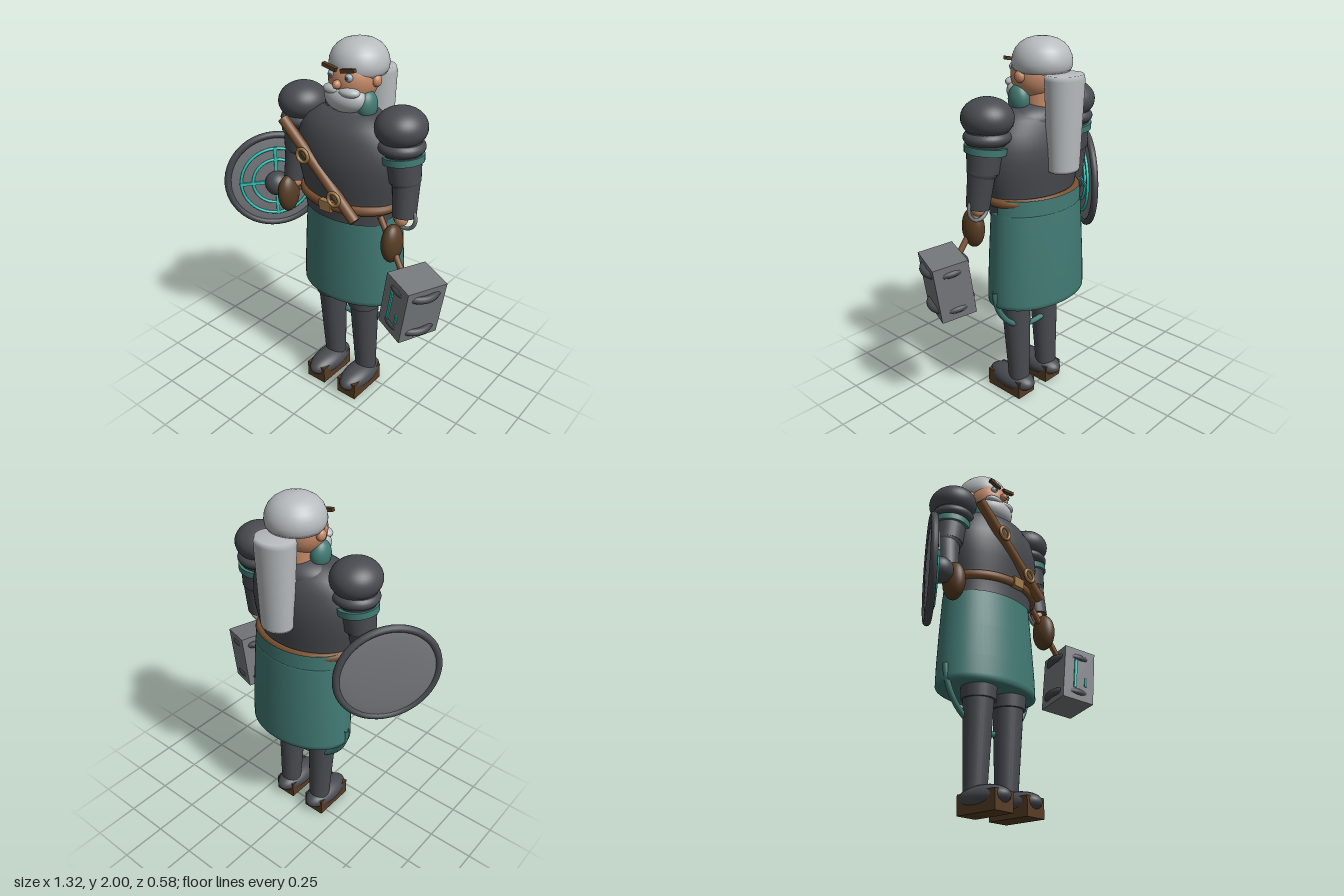
import * as THREE from 'three';

const mat = (name, color) => {
  const m = new THREE.MeshStandardMaterial({ color });
  m.name = name;
  return m;
};

export function createModel() {
  const armor = mat('dark armour', 0x484b50), teal = mat('teal cloth', 0x427a74);
  const metal = mat('grey metal', 0x76797d), leather = mat('brown leather', 0x79502f);
  const darkLeather = mat('dark leather', 0x573d24), gold = mat('brass', 0xa07a48);
  const skin = mat('skin', 0xc58a68), hair = mat('white hair', 0xb8bcbe);
  const glow = mat('cyan inlay', 0x2cc4b8), eye = mat('eye', 0x9fb0c0);

  const root = new THREE.Group();
  root.name = 'armouredElder';
  const body = new THREE.Group();
  body.name = 'body';
  body.position.x = 0.02;
  root.add(body);

  const add = (parent, name, geo, material, pos = [0, 0, 0], scale = [1, 1, 1], rot = [0, 0, 0]) => {
    const m = new THREE.Mesh(geo, material);
    m.name = name;
    m.position.set(...pos);
    m.scale.set(...scale);
    m.rotation.set(...rot);
    parent.add(m);
    return m;
  };
  const ball = (parent, name, material, pos, r) =>
    add(parent, name, new THREE.SphereGeometry(1, 36, 24), material, pos, r);
  const box = (parent, name, material, size, pos, rot) =>
    add(parent, name, new THREE.BoxGeometry(...size), material, pos, [1, 1, 1], rot);
  const ring = (parent, name, material, r, tube, pos, rot, scale, arc = Math.PI * 2) =>
    add(parent, name, new THREE.TorusGeometry(r, tube, 12, 48, arc), material, pos, scale, rot);
  // Tapered limb from a (radius ra) to b (radius rb)
  const limb = (parent, name, material, a, b, ra, rb) => {
    const p = new THREE.Vector3(...a), q = new THREE.Vector3(...b);
    const d = q.clone().sub(p);
    const m = add(parent, name, new THREE.CylinderGeometry(rb, ra, d.length(), 28), material);
    m.position.copy(p).addScaledVector(d, 0.5);
    m.quaternion.setFromUnitVectors(new THREE.Vector3(0, 1, 0), d.normalize());
    return m;
  };
  const lathe = (parent, name, material, pts, pos, scale) =>
    add(parent, name, new THREE.LatheGeometry(pts.map(p => new THREE.Vector2(...p)), 56), material, pos, scale);

  // Head and face
  const head = new THREE.Group();
  head.name = 'head';
  body.add(head);
  ball(head, 'face', skin, [0, 1.815, -0.01], [0.125, 0.13, 0.122]);
  limb(head, 'neck', skin, [0, 1.6, -0.03], [0, 1.76, -0.03], 0.08, 0.08);
  lathe(head, 'hairCap', hair, [[0, 1.835], [0.135, 1.835], [0.145, 1.855], [0.148, 1.88], [0.144, 1.91],
    [0.13, 1.942], [0.108, 1.967], [0.078, 1.986], [0.04, 1.997], [0, 2]], [0, 0, -0.055], [1, 1, 1.02]);
  ball(head, 'nose', skin, [0, 1.81, 0.118], [0.02, 0.022, 0.024]);
  ball(head, 'beard', hair, [0, 1.732, 0.05], [0.118, 0.076, 0.08]);
  for (const s of [-1, 1]) {
    ball(head, 'ear', skin, [s * 0.128, 1.818, -0.025], [0.022, 0.03, 0.028]);
    ball(head, 'eye', eye, [s * 0.052, 1.845, 0.093], [0.02, 0.02, 0.017]);
    ball(head, 'pupil', armor, [s * 0.05, 1.845, 0.107], [0.009, 0.009, 0.006]);
    box(head, 'eyebrow', darkLeather, [0.082, 0.018, 0.022], [s * 0.055, 1.882, 0.103], [0, 0, s * 0.2]);
    ball(head, 'moustache', hair, [s * 0.045, 1.773, 0.085], [0.06, 0.027, 0.04]);
    ball(head, 'scarf', teal, [s * 0.098, 1.7, 0.01], [0.048, 0.075, 0.06]);
  }
  // Hanging tail of hair
  lathe(head, 'hairTail', hair, [[0, 1.36], [0.085, 1.36], [0.088, 1.375], [0.108, 1.81], [0.1, 1.835], [0, 1.835]],
    [0, 0, -0.2], [1, 1, 0.85]);

  // Torso, belt and skirt
  lathe(body, 'torso', armor, [[0.268, 1.12], [0.272, 1.2], [0.285, 1.26], [0.305, 1.34], [0.315, 1.42], [0.31, 1.48],
    [0.288, 1.56], [0.24, 1.62], [0.15, 1.665], [0, 1.68]], [0, 0, 0.015], [1, 1, 0.63]);
  ball(body, 'upperChest', armor, [0, 1.6, 0], [0.19, 0.095, 0.15]);
  lathe(body, 'skirt', teal, [[0, 0.63], [0.29, 0.63], [0.308, 0.637], [0.308, 0.66], [0.305, 0.76], [0.295, 0.93],
    [0.28, 1.14], [0.275, 1.15], [0.2, 1.15]], [0, 0, -0.018], [1, 1, 0.68]);
  // Raised back half of the skirt
  add(body, 'skirtBack', new THREE.CylinderGeometry(0.277, 0.281, 0.1, 32, 1, true, Math.PI / 2, Math.PI),
    teal, [0, 1.18, -0.01], [1, 1, 0.7]).material.side = THREE.DoubleSide;
  ring(body, 'belt', leather, 0.272, 0.025, [0, 1.21, 0.012], [Math.PI / 2, 0, 0], [1, 0.7, 1]);
  box(body, 'buckle', gold, [0.075, 0.055, 0.03], [0, 1.21, 0.21]);
  ring(body, 'hangingLoop', teal, 0.3, 0.016, [0, 0.72, -0.005], [0, 0, Math.PI], [1.02, 0.97, 1], Math.PI);

  // Diagonal strap with rings
  limb(body, 'strap', leather, [-0.28, 1.6, 0.2], [0.185, 1.18, 0.215], 0.028, 0.028);
  for (const [x, y] of [[-0.125, 1.455], [0.07, 1.275]])
    ring(body, 'strapRing', gold, 0.034, 0.009, [x, y, 0.238]);

  // Arms
  for (const s of [-1, 1]) {
    const arm = new THREE.Group();
    arm.name = s > 0 ? 'leftArm' : 'rightArm';
    body.add(arm);
    ball(arm, 'shoulderGuard', armor, [s * 0.305, 1.642, 0.018], [0.127, 0.1, 0.133]);
    ball(arm, 'lowerShoulderGuard', armor, [s * 0.308, 1.552, 0.018], [0.12, 0.055, 0.118]);
    limb(arm, 'upperArm', armor, [s * 0.312, 1.58, 0.018], [s * 0.34, 1.38, 0.022], 0.1, 0.08);
    limb(arm, 'armBand', teal, [s * 0.318, 1.51, 0.018], [s * 0.322, 1.475, 0.019], 0.108, 0.106);
    ball(arm, 'elbow', armor, [s * 0.34, 1.39, 0.022], [0.08, 0.06, 0.078]);
    limb(arm, 'forearm', armor, [s * 0.348, 1.4, 0.02], [s * 0.36, 1.2, 0.045], 0.07, 0.06);
    ball(arm, 'wrist', skin, [s * 0.35, 1.185, 0.055], [0.035, 0.04, 0.035]);
    ring(arm, 'wristRing', metal, 0.064, 0.01, [s * 0.36, 1.195, 0.042]);
    ball(arm, 'glove', darkLeather, s > 0 ? [0.337, 1.065, 0.11] : [-0.363, 1.12, 0.1], [0.05, 0.105, 0.068]);
  }

  // Legs and boots
  for (const s of [-1, 1]) {
    const leg = new THREE.Group();
    leg.name = s > 0 ? 'leftLeg' : 'rightLeg';
    body.add(leg);
    limb(leg, 'leg', armor, [s * 0.112, 0.08, 0.012], [s * 0.112, 0.68, 0.037], 0.058, 0.085);
    limb(leg, 'thighCuff', armor, [s * 0.112, 0.565, 0.035], [s * 0.112, 0.65, 0.037], 0.09, 0.094);
    ball(leg, 'boot', armor, [s * 0.112, 0.077, 0.07], [0.08, 0.062, 0.16]);
    box(leg, 'sole', darkLeather, [0.125, 0.1, 0.245], [s * 0.112, 0.05, 0.078]);
  }

  // Hammer
  limb(root, 'hammerHandle', leather, [0.275, 1.185, 0.1], [0.5, 0.85, 0.145], 0.016, 0.016);
  const hammer = new THREE.Group();
  hammer.name = 'hammer';
  hammer.position.set(0.515, 0.8, 0.147);
  hammer.rotation.set(0, -0.37, -0.15, 'ZYX');
  root.add(hammer);
  box(hammer, 'hammerHead', metal, [0.187, 0.31, 0.23]);
  for (const y of [-0.105, 0.105])
    ring(hammer, 'hammerBand', armor, 0.106, 0.02, [0, y, 0], [Math.PI / 2, 0, 0]);
  box(hammer, 'hammerInlay', glow, [0.016, 0.17, 0.008], [-0.025, 0, 0.118]);
  box(hammer, 'hammerInlay', glow, [0.012, 0.05, 0.008], [0.04, -0.04, 0.118]);

  // Round shield, its decorated face turned inward and forward
  const shield = new THREE.Group();
  shield.name = 'shield';
  shield.position.set(-0.472, 1.15, 0.062);
  shield.rotation.y = Math.atan2(0.79, 0.61);
  root.add(shield);
  ball(shield, 'shieldDisc', metal, [0, 0, 0], [0.275, 0.275, 0.022]);
  ring(shield, 'shieldRim', armor, 0.266, 0.019);
  for (const r of [0.13, 0.195])
    ring(shield, 'inlayRing', glow, r, 0.008, [0, 0, 0.023]);
  for (const a of [0, Math.PI / 2])
    box(shield, 'inlayBar', glow, [0.41, 0.018, 0.009], [0, 0, 0.027], [0, 0, a]);
  ball(shield, 'shieldBoss', armor, [0, 0, 0.05], [0.068, 0.068, 0.068]);

  return root;
}
